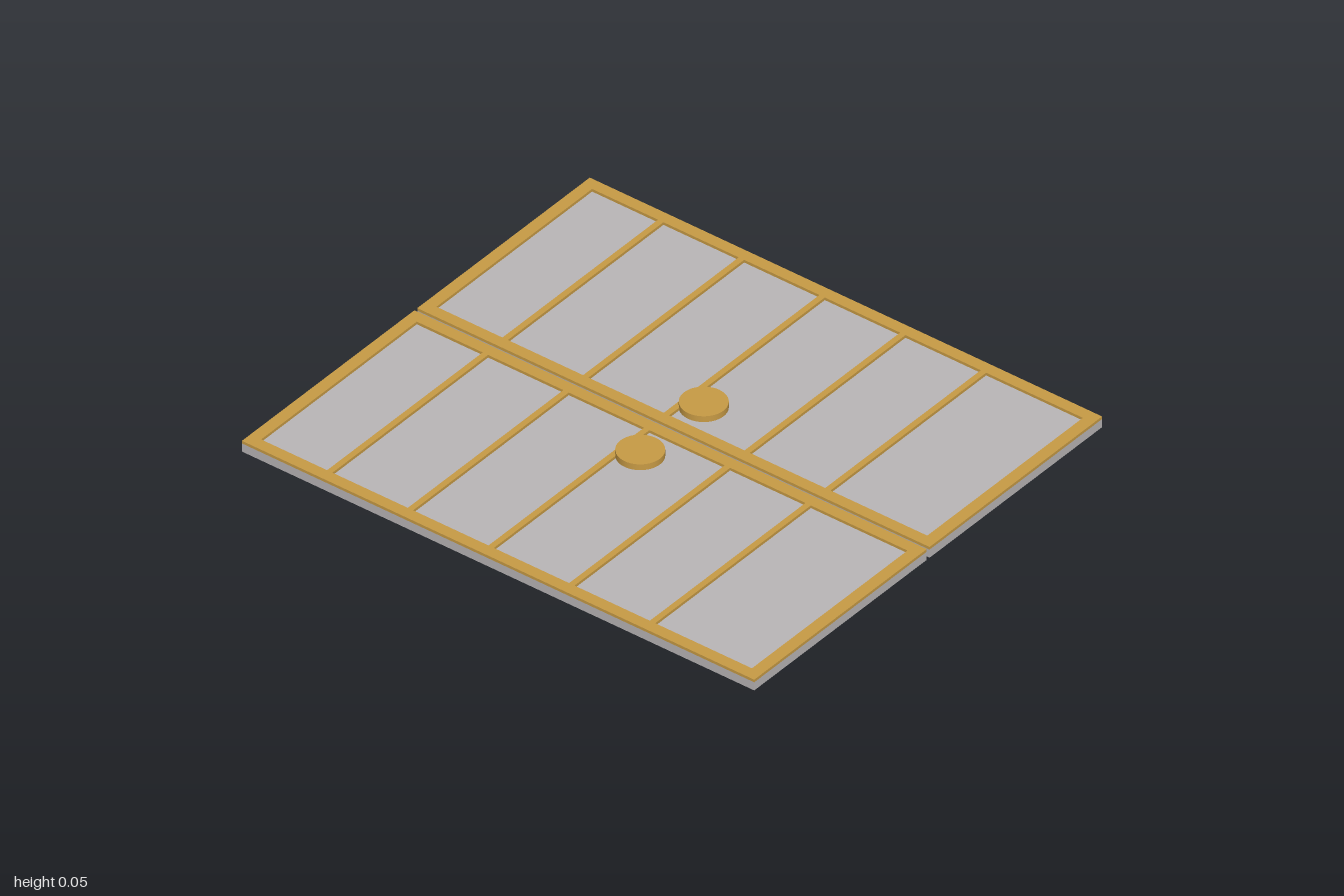
import * as THREE from 'three';

const gold = new THREE.MeshStandardMaterial({ name: 'gold trim', color: 0xc89b45 });
const grey = new THREE.MeshStandardMaterial({ name: 'grey pane', color: 0xbab6b7 });

const INNER = 0.007, OUTER = 0.865, HALF_LENGTH = 1, RIM = 0.042;
const PANE_TOP = 0.031, FRAME_TOP = 0.041, KNOB_TOP = 0.053;

function add(group, name, geometry, material, x, y, z) {
  const mesh = new THREE.Mesh(geometry, material);
  mesh.name = name;
  mesh.position.set(x, y, z);
  group.add(mesh);
}

// Flat rectangular ring, laid in the xz plane and raised along y
function frameGeometry(width, length, rim, height) {
  const rectangle = (path, w, l) => path
    .moveTo(-w / 2, -l / 2).lineTo(w / 2, -l / 2)
    .lineTo(w / 2, l / 2).lineTo(-w / 2, l / 2).closePath();
  const shape = new THREE.Shape();
  rectangle(shape, width, length);
  const hole = new THREE.Path();
  rectangle(hole, width - 2 * rim, length - 2 * rim);
  shape.holes.push(hole);
  return new THREE.ExtrudeGeometry(shape, { depth: height, bevelEnabled: false })
    .rotateX(-Math.PI / 2);
}

function createDoor(side) {
  const door = new THREE.Group();
  door.name = side > 0 ? 'leftDoor' : 'rightDoor';
  const width = OUTER - INNER;
  const centre = side * (OUTER + INNER) / 2;

  // Pane slab and the raised frame around its edge
  add(door, 'pane', new THREE.BoxGeometry(width, PANE_TOP, 2 * HALF_LENGTH), grey,
    centre, PANE_TOP / 2, 0);
  add(door, 'frame', frameGeometry(width, 2 * HALF_LENGTH, RIM, FRAME_TOP - PANE_TOP), gold,
    centre, PANE_TOP, 0);

  // Five evenly spaced cross bars
  const barHeight = FRAME_TOP - PANE_TOP;
  for (let i = 0; i < 5; i++) {
    add(door, 'crossBar', new THREE.BoxGeometry(width - 2 * RIM, barHeight, 0.021), gold,
      centre, PANE_TOP + barHeight / 2, -0.69 + i * 0.315);
  }

  // Round handle near the meeting edge
  const knobHeight = KNOB_TOP - PANE_TOP;
  add(door, 'knob', new THREE.CylinderGeometry(0.077, 0.077, knobHeight, 48), gold,
    side * 0.158, PANE_TOP + knobHeight / 2, 0);
  return door;
}

export function createModel() {
  const model = new THREE.Group();
  model.name = 'doubleDoor';
  model.add(createDoor(1), createDoor(-1));
  return model;
}
